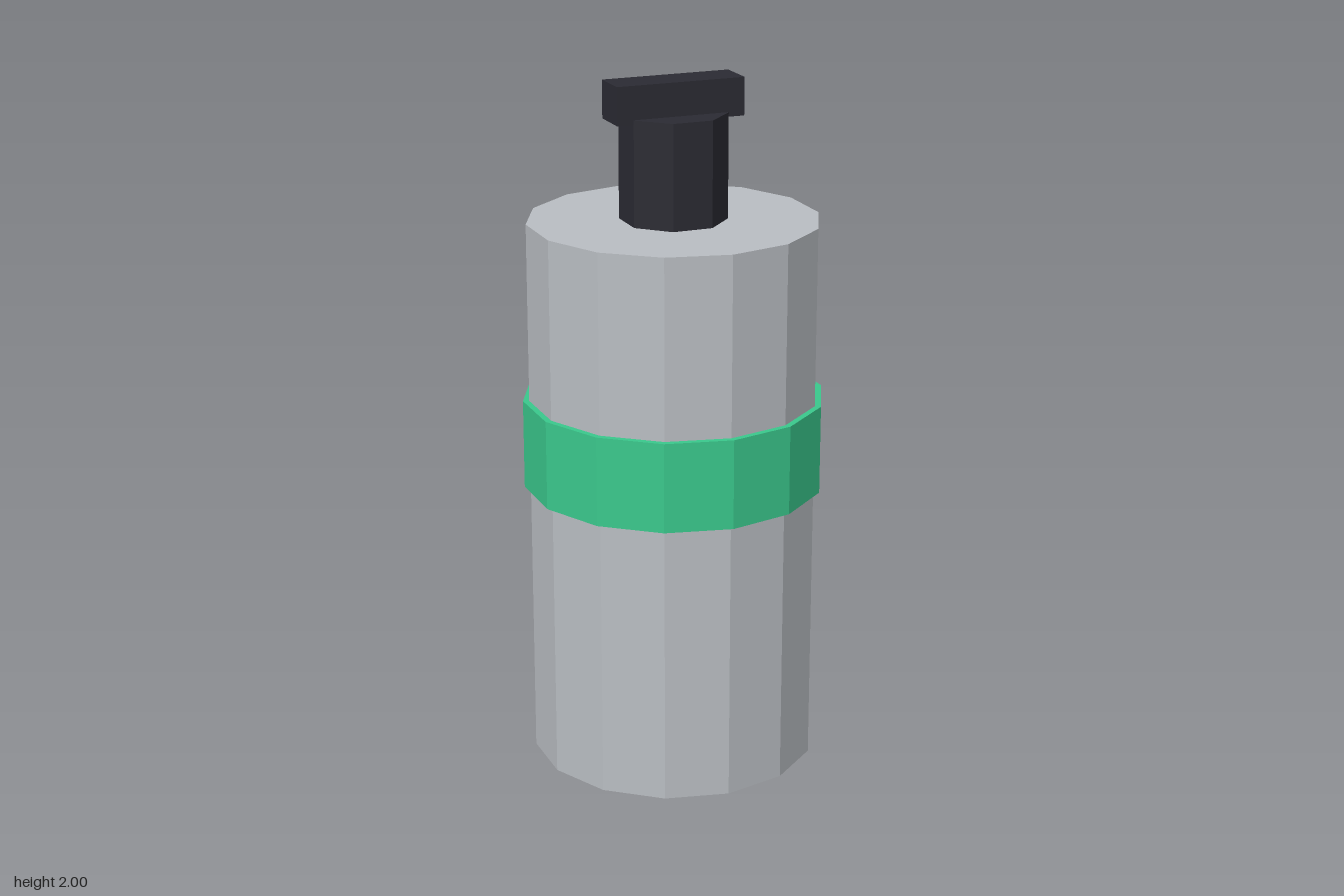
import * as THREE from 'three';

export function createModel() {
  const model = new THREE.Group();
  model.name = 'canister';

  const material = (name, color) => {
    const m = new THREE.MeshStandardMaterial({ color, flatShading: true });
    m.name = name;
    return m;
  };
  const steel = material('steel grey', 0xb9bdc2);
  const green = material('band green', 0x3ac88c);
  const dark = material('valve black', 0x2b2b33);

  const add = (name, geometry, mat, y0, y1) => {
    const mesh = new THREE.Mesh(geometry, mat);
    mesh.name = name;
    mesh.position.y = (y0 + y1) / 2;
    model.add(mesh);
    return mesh;
  };
  // Upright prism between two heights
  const prism = (name, radius, sides, mat, y0, y1) =>
    add(name, new THREE.CylinderGeometry(radius, radius, y1 - y0, sides), mat, y0, y1);

  // Fourteen-sided tank with a slightly wider band
  prism('tank', 0.417, 14, steel, 0, 1.603);
  prism('band', 0.435, 14, green, 0.825, 1.085);

  // Octagonal valve neck, flat side forward
  prism('valveNeck', 0.153, 8, dark, 1.603, 1.905).rotation.y = Math.PI / 8;

  // Crossbar handle seated over the neck
  add('handle', new THREE.BoxGeometry(0.378, 0.108, 0.114), dark, 1.892, 2);

  return model;
}
